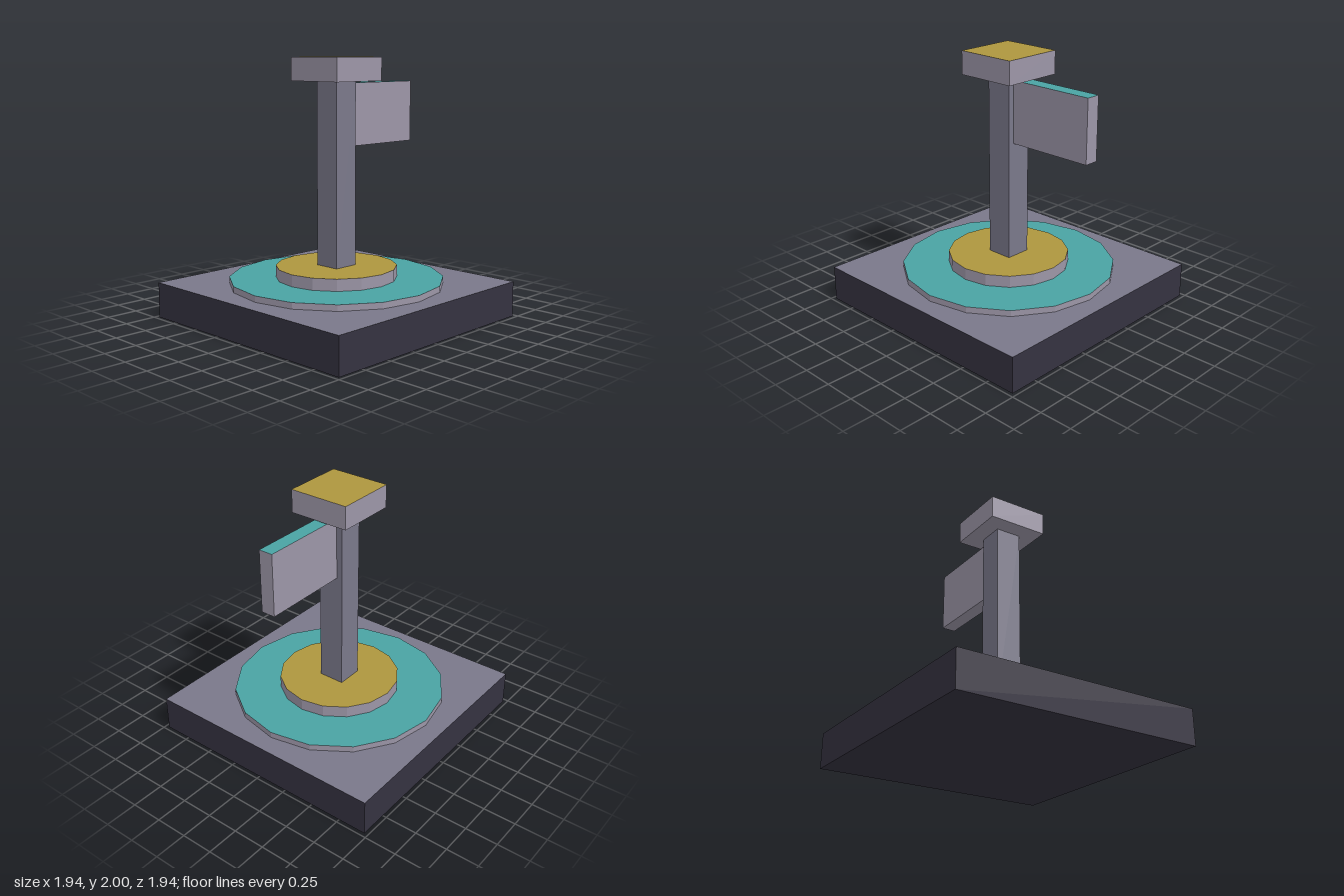
import * as THREE from 'three';

const paint = (color) => new THREE.MeshStandardMaterial({ color, flatShading: true });

export function createModel() {
  const group = new THREE.Group();
  const dark = paint(0x353240);
  const slate = paint(0x7a788a);
  const lilac = paint(0x9c96a7);
  const teal = paint(0x4aa3a3);
  const gold = paint(0xae963e);

  const add = (name, geometry, materials, x, y) => {
    const mesh = new THREE.Mesh(geometry, materials);
    mesh.name = name;
    mesh.position.set(x, y, 0);
    group.add(mesh);
  };

  // Box spanning x0..x1 and y0..y1, centred on z, with its own top colour
  const box = (name, x0, x1, y0, y1, depth, side, top) =>
    add(name, new THREE.BoxGeometry(x1 - x0, y1 - y0, depth),
      [side, side, top, side, side, side], (x0 + x1) / 2, (y0 + y1) / 2);

  // Sixteen-sided disc with its own top colour
  const disc = (name, radius, y0, y1, top) =>
    add(name, new THREE.CylinderGeometry(radius, radius, y1 - y0, 16),
      [lilac, top, lilac], 0, (y0 + y1) / 2);

  // Plinth and stepped discs
  box('base', -0.97, 0.97, 0, 0.275, 1.94, dark, slate);
  disc('lowerDisc', 0.826, 0.275, 0.322, teal);
  disc('upperDisc', 0.467, 0.322, 0.413, gold);

  // Post, cap and side panel
  box('post', -0.103, 0.103, 0.413, 1.822, 0.206, slate, slate);
  box('cap', -0.24, 0.24, 1.822, 2, 0.48, lilac, gold);
  box('flagPanel', 0.103, 0.797, 1.326, 1.806, 0.112, lilac, teal);

  return group;
}
